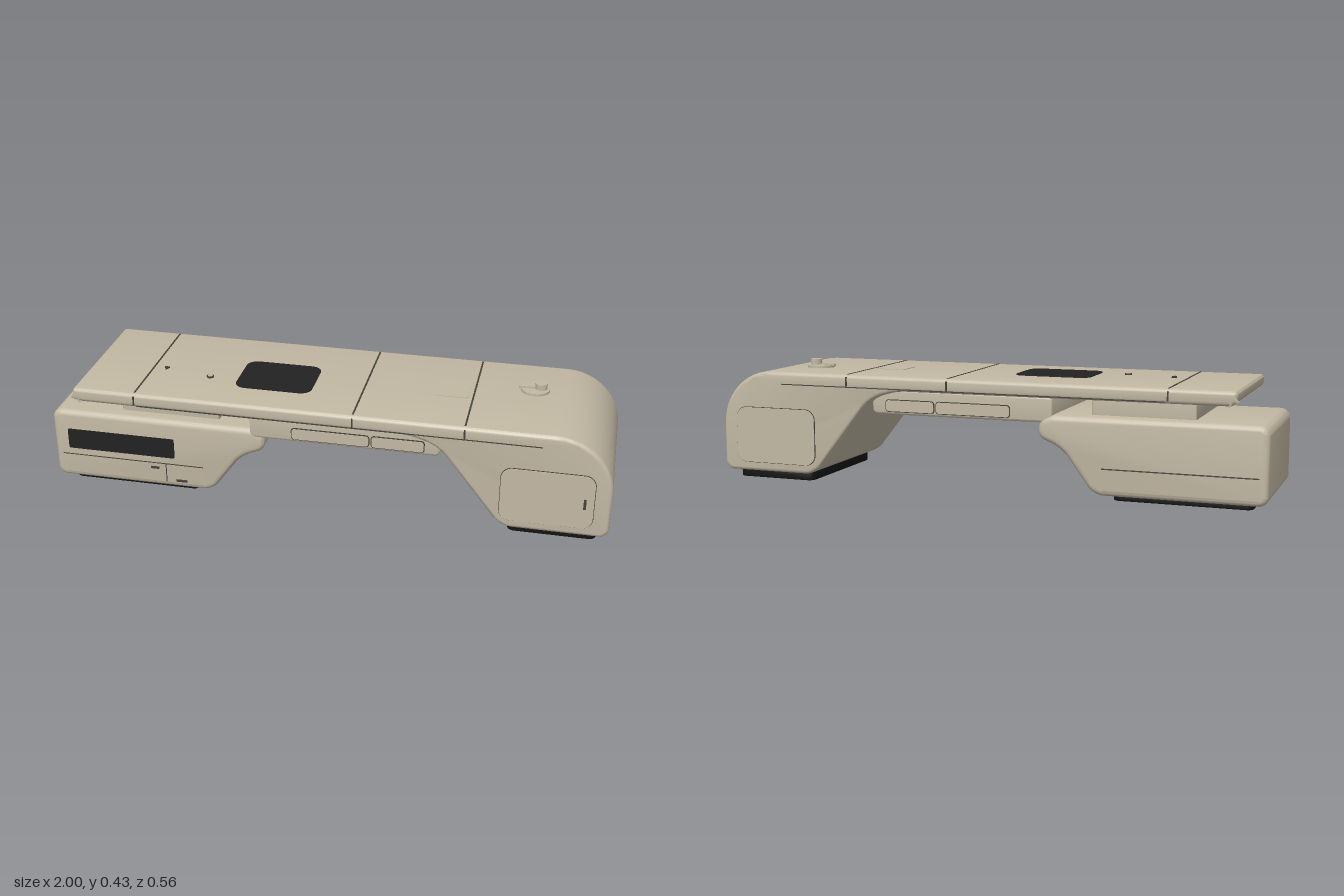
import * as THREE from 'three';
import { toCreasedNormals } from 'three/addons/utils/BufferGeometryUtils.js';

const flat = (name, color) => {
  const m = new THREE.MeshStandardMaterial({ color });
  m.name = name;
  return m;
};

// Closed shape from corners [x, y, cut length of the rounding]
function roundedShape(corners) {
  const s = new THREE.Shape();
  const n = corners.length;
  corners.forEach(([x, y, r], i) => {
    const p = new THREE.Vector2(x, y);
    const toward = (c, d) => new THREE.Vector2(c[0], c[1]).sub(p).normalize().multiplyScalar(d).add(p);
    const prev = corners[(i + n - 1) % n], next = corners[(i + 1) % n];
    const a = toward(prev, r), b = toward(next, r);
    const ca = toward(prev, r * 0.45), cb = toward(next, r * 0.45);
    if (i === 0) s.moveTo(a.x, a.y); else s.lineTo(a.x, a.y);
    s.bezierCurveTo(ca.x, ca.y, cb.x, cb.y, b.x, b.y);
  });
  s.closePath();
  return s;
}

const rect = (x0, x1, y0, y1, r) =>
  roundedShape([[x0, y0, r], [x1, y0, r], [x1, y1, r], [x0, y1, r]]);

// Extrusion filling z0..z1 with softened edges
function slab(shape, z0, z1, bevel) {
  const g = new THREE.ExtrudeGeometry(shape, {
    depth: z1 - z0 - 2 * bevel, bevelEnabled: bevel > 0, bevelThickness: bevel,
    bevelSize: bevel, bevelOffset: -bevel, bevelSegments: 4, curveSegments: 12,
  });
  g.translate(0, 0, z0 + bevel);
  return toCreasedNormals(g, 0.55);
}

export function createModel() {
  const model = new THREE.Group();
  const shell = flat('warm beige shell', 0xc2b8a3);
  const dark = flat('dark glass', 0x222222);
  const rubber = flat('black rubber', 0x141414);
  const seam = flat('seam grey', 0x45423b);

  const add = (name, geometry, material) => {
    const m = new THREE.Mesh(geometry, material);
    m.name = name;
    model.add(m);
    return m;
  };
  const box = (name, mat, x0, x1, y0, y1, z0, z1) =>
    add(name, new THREE.BoxGeometry(x1 - x0, y1 - y0, z1 - z0), mat)
      .position.set((x0 + x1) / 2, (y0 + y1) / 2, (z0 + z1) / 2);
  // Rounded plate lying flat, spanning x, z and y
  const flatPlate = (name, mat, x0, x1, z0, z1, y0, y1, r, bevel = 0) => {
    const g = slab(rect(x0, x1, -z1, -z0, r), y0, y1, bevel);
    g.rotateX(-Math.PI / 2);
    return add(name, g, mat);
  };

  // Long deck running into the curved end leg
  add('deckAndLeg', slab(roundedShape([
    [-0.897, 0.4, 0.012], [-0.897, 0.362, 0.015], [-0.875, 0.35, 0.015],
    [0.3, 0.348, 0.03], [0.405, 0.318, 0.045], [0.63, 0.03, 0.04],
    [0.998, 0.03, 0.035], [0.998, 0.4, 0.2],
  ]), -0.272, 0.27, 0.014), shell);

  // Lower pod with its tapering nose
  add('pod', slab(roundedShape([
    [-1, 0.02, 0.035], [-0.41, 0.02, 0.035], [-0.3, 0.172, 0.035],
    [-0.213, 0.21, 0.02], [-0.213, 0.262, 0.02], [-0.25, 0.288, 0.02], [-1, 0.288, 0.035],
  ]), -0.242, 0.234, 0.02), shell);
  add('podNeck', slab(rect(-0.748, -0.387, 0.28, 0.355, 0.005), -0.18, 0.18, 0.004), shell);

  // Tray under the deck, with shallow side inserts
  add('underTray', slab(rect(-0.262, 0.41, 0.26, 0.352, 0.02), -0.235, 0.235, 0.01), shell);
  for (const side of [-1, 1]) {
    for (const [x0, x1] of [[-0.112, 0.165], [0.17, 0.357]]) {
      const z = side * 0.236;
      add('trayInsertRim', slab(rect(x0, x1, 0.27, 0.315, 0.012), z - 0.002, z + 0.002, 0), seam);
      add('trayInsert', slab(rect(x0 + 0.003, x1 - 0.003, 0.273, 0.312, 0.01), z - 0.004, z + 0.004, 0), shell);
    }
  }

  // Rubber feet
  flatPlate('legFoot', rubber, 0.652, 0.957, -0.238, 0.238, 0, 0.034, 0.025, 0.004);
  flatPlate('podFoot', rubber, -0.946, -0.468, -0.2, 0.2, 0, 0.026, 0.025, 0.004);

  // Deck seams on the top and both edges
  for (const x of [-0.67, 0.11, 0.494]) {
    box('topSeam', seam, x - 0.003, x + 0.003, 0.398, 0.4012, -0.258, 0.254);
    for (const z of [-0.272, 0.27])
      box('edgeSeam', seam, x - 0.003, x + 0.003, 0.358, 0.392, z - 0.001, z + 0.001);
  }
  for (const z of [-0.272, 0.27])
    box('longEdgeSeam', seam, -0.66, 0.755, 0.354, 0.3575, z - 0.0012, z + 0.0012);

  // Deck screen, touch pad and small markers
  flatPlate('screen', dark, -0.344, -0.068, -0.08, 0.137, 0.397, 0.403, 0.04);
  flatPlate('touchPad', shell, 0.365, 0.475, -0.06, 0.052, 0.398, 0.402, 0.01);
  const disc = (name, mat, r, x, z, y0, y1, sides = 32) =>
    add(name, new THREE.CylinderGeometry(r, r, y1 - y0, sides), mat).position.set(x, (y0 + y1) / 2, z);
  disc('triangleMarker', seam, 0.011, -0.622, 0.042, 0.398, 0.406, 3);
  disc('roundMarker', seam, 0.013, -0.447, 0.076, 0.398, 0.405);
  disc('markerCap', shell, 0.009, -0.447, 0.076, 0.398, 0.407);

  // Selector knob
  disc('knobBase', shell, 0.051, 0.7, -0.064, 0.398, 0.409);
  disc('knob', shell, 0.021, 0.72, -0.064, 0.405, 0.43);
  flatPlate('knobLever', shell, 0.642, 0.72, -0.072, -0.056, 0.405, 0.415, 0.006);

  // Raised leg covers on both sides, latch on the front
  for (const z of [-0.272, 0.27]) {
    add('legCoverRim', slab(rect(0.622, 0.942, 0.062, 0.268, 0.04), z - 0.002, z + 0.002, 0), seam);
    add('legCover', slab(rect(0.624, 0.94, 0.064, 0.266, 0.038), z - 0.005, z + 0.005, 0), shell);
  }
  box('coverLatch', seam, 0.905, 0.914, 0.14, 0.178, 0.27, 0.279);

  // Pod front: window, seams and buttons; one seam on the back
  add('podWindow', slab(rect(-0.944, -0.544, 0.14, 0.217, 0.006), 0.231, 0.237, 0), dark);
  box('podFrontSeam', seam, -0.97, -0.44, 0.1125, 0.1155, 0.232, 0.2355);
  box('podBackSeam', seam, -0.97, -0.44, 0.1125, 0.1165, -0.2435, -0.24);
  box('podDoorSeam', seam, -0.58, -0.577, 0.04, 0.113, 0.232, 0.2355);
  for (const [x0, x1, y] of [[-0.635, -0.605, 0.095], [-0.542, -0.502, 0.05]]) {
    box('podButton', seam, x0, x1, y - 0.004, y + 0.004, 0.232, 0.238);
  }
  return model;
}
